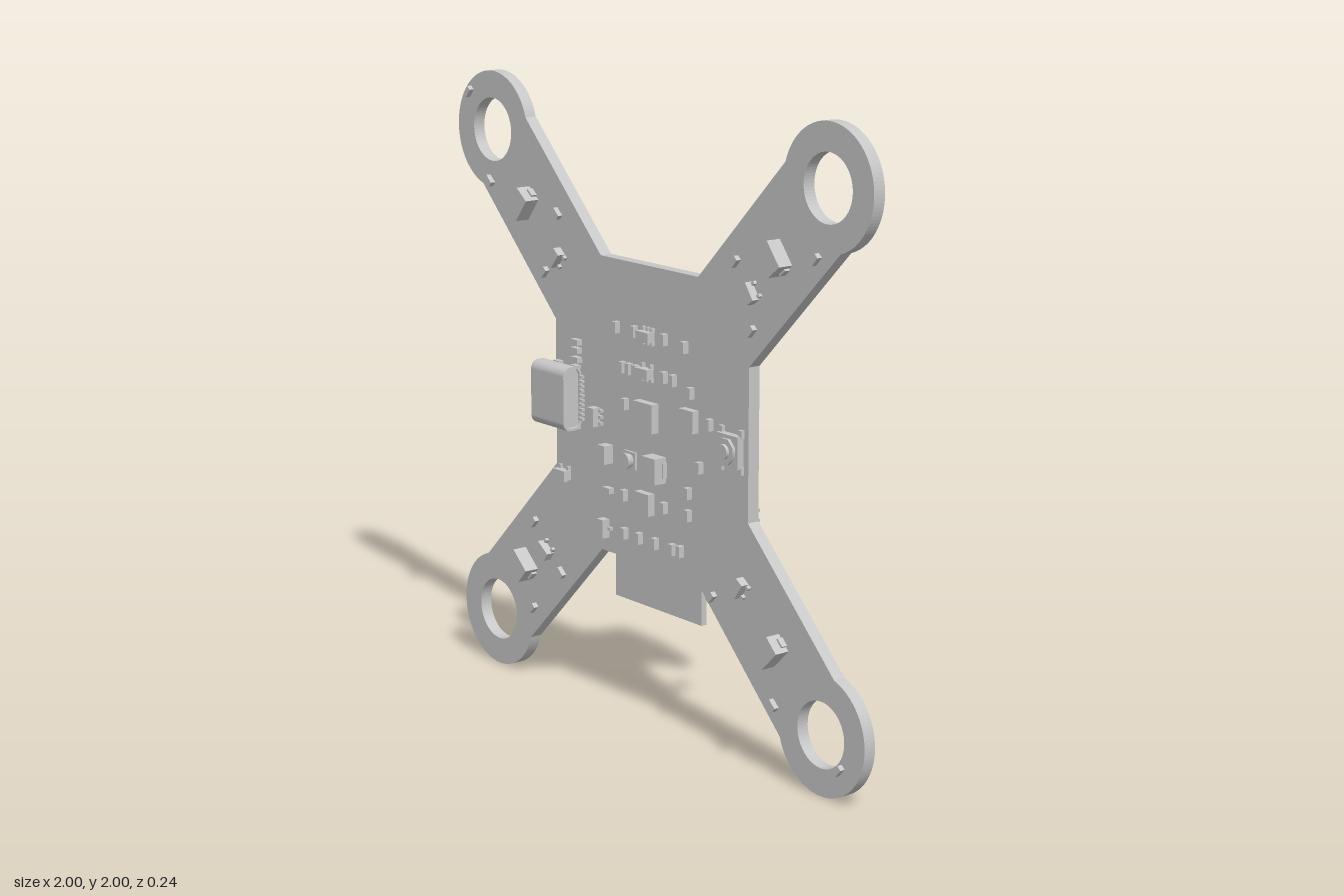
import * as THREE from 'three';

const grey = new THREE.MeshStandardMaterial({ color: 0xc6c6c6 });
grey.name = 'plain light grey';
const BACK = 0.003, FRONT = 0.044; // board faces in z
const rad = THREE.MathUtils.degToRad;

export function createModel() {
  const root = new THREE.Group();
  root.name = 'quadFrameBoard';

  const add = (name, geo, x = 0, y = 0, z = 0, parent = root) => {
    const m = new THREE.Mesh(geo, grey);
    m.name = name;
    m.position.set(x, y, z);
    parent.add(m);
    return m;
  };
  // box given by its ranges
  const span = (name, x0, x1, y0, y1, z0, z1, parent) =>
    add(name, new THREE.BoxGeometry(x1 - x0, y1 - y0, z1 - z0), (x0 + x1) / 2, (y0 + y1) / 2, (z0 + z1) / 2, parent);
  // box standing on the front of the board
  const chip = (name, x, y, w, h, d, deg = 0) => {
    const m = add(name, new THREE.BoxGeometry(w, h, d), x, y, FRONT + d / 2);
    m.rotation.z = rad(deg);
    return m;
  };

  // board: square body, four arms with ring ends
  const C = 0.81, R = 0.19, A = Math.asin(0.168 / R);
  const shape = new THREE.Shape();
  shape.moveTo(0.475, 0.762);
  for (let k = 0; k < 4; k++) {
    const q = k * Math.PI / 2, c = Math.cos(q), s = Math.sin(q);
    const corner = (x, y) => [x * c - y * s, 1 + x * s + y * c];
    const mid = corner(C, C), out = q + Math.PI / 4;
    shape.lineTo(...corner(0.475, 0.238));
    shape.absarc(mid[0], mid[1], R, out - Math.PI + A, out + Math.PI - A, false);
    shape.lineTo(...corner(0.238, 0.475));
    const hole = new THREE.Path();
    hole.absarc(mid[0], mid[1], 0.103, 0, Math.PI * 2, true);
    shape.holes.push(hole);
  }
  add('board', new THREE.ExtrudeGeometry(shape, { depth: FRONT - BACK, bevelEnabled: false, curveSegments: 32 }), 0, 0, BACK);

  // large diodes on the arms
  [[-0.615, 1.593, 52], [0.61, 1.585, 128], [-0.64, 0.387, -42], [0.61, 0.4, 45]].forEach(([x, y, a]) => {
    chip('diodeBody', x, y, 0.09, 0.062, 0.05, a);
    chip('diodeTabs', x, y, 0.104, 0.03, 0.02, a);
  });

  // small leaded packages: body plus legs on both long sides
  const leaded = (x, y, a, top, bottom) => {
    const g = new THREE.Group();
    g.name = 'leadedChip';
    g.position.set(x, y, FRONT);
    g.rotation.z = rad(a);
    root.add(g);
    add('chipBody', new THREE.BoxGeometry(0.06, 0.032, 0.028), 0, 0, 0.018, g);
    [[top, 1], [bottom, -1]].forEach(([n, side]) => {
      for (let i = 0; i < n; i++) {
        const lx = n === 1 ? 0 : (i / (n - 1) - 0.5) * 0.042;
        add('chipLeg', new THREE.BoxGeometry(0.01, 0.014, 0.012), lx, side * 0.021, 0.006, g);
      }
    });
  };
  [[-0.45, 1.44, 50, 1, 2], [0.495, 1.465, 125, 1, 2], [-0.525, 0.46, 145, 1, 2], [0.455, 0.56, 55, 1, 2],
    [0.005, 1.258, 0, 3, 3], [0, 1.142, 0, 2, 3], [-0.257, 0.958, 90, 3, 3], [-0.21, 0.604, 90, 2, 1],
    [-0.426, 0.737, 0, 2, 1]].forEach(p => leaded(...p));

  // tiny passives on the arms (x, y, angle)
  [[-0.93, 1.922, 50], [-0.818, 1.643, -42], [-0.455, 1.58, -42], [-0.524, 1.382, 48], [0.417, 1.547, 48],
    [0.77, 1.602, 48], [0.492, 1.35, 48], [-0.594, 0.54, 48], [-0.449, 0.4, -42], [-0.604, 0.243, 45],
    [0.604, 0.228, -42], [0.316, 0.497, 45], [0.898, 0.105, 48]]
    .forEach(([x, y, a]) => chip('passive', x, y, 0.035, 0.018, 0.017, a));

  // tiny passives on the body
  [[-0.15, 1.262], [-0.06, 1.262], [0.086, 1.26], [0.184, 1.252], [-0.118, 1.14], [-0.086, 1.14], [-0.052, 1.14],
    [0.086, 1.142], [0.13, 1.14], [0.214, 1.115], [-0.107, 1.025], [0.305, 1.034], [0.257, 0.891], [0.203, 0.8],
    [0.203, 0.73], [-0.112, 0.73], [0.086, 0.73], [-0.112, 0.606], [-0.037, 0.606], [0.043, 0.606],
    [0.128, 0.606], [0.166, 0.608]].forEach(([x, y]) => chip('passive', x, y, 0.018, 0.036, 0.02));
  [[-0.193, 0.73], [-0.355, 1.182], [-0.355, 1.155], [-0.355, 1.125]]
    .forEach(([x, y]) => chip('passive', x, y, 0.036, 0.018, 0.02));

  // flat square chips and taller blocks
  chip('mainChip', 0.003, 1.005, 0.092, 0.092, 0.028);
  chip('sensorChip', 0.21, 1.03, 0.066, 0.07, 0.025);
  chip('powerChip', -0.007, 0.726, 0.07, 0.07, 0.025);
  chip('inductor', 0.053, 0.848, 0.066, 0.082, 0.045);
  chip('inductorFoot', 0.053, 0.848, 0.074, 0.05, 0.015);
  chip('capacitor', -0.198, 0.848, 0.036, 0.06, 0.035);
  chip('coilBase', -0.086, 0.848, 0.056, 0.056, 0.008);
  add('coil', new THREE.CylinderGeometry(0.03, 0.02, 0.03, 20).rotateX(Math.PI / 2), -0.086, 0.848, FRONT + 0.02);

  // push button
  chip('buttonBase', 0.403, 0.975, 0.1, 0.1, 0.024);
  for (const sx of [-1, 1]) for (const sy of [-1, 1])
    chip('buttonLeg', 0.403 + sx * 0.045, 0.975 + sy * 0.056, 0.016, 0.025, 0.012);
  const collar = add('buttonCollar', new THREE.CylinderGeometry(0.042, 0.042, 0.01, 8).rotateX(Math.PI / 2), 0.403, 0.975, FRONT + 0.029);
  collar.rotation.z = Math.PI / 8;
  add('buttonCap', new THREE.CylinderGeometry(0.023, 0.023, 0.012, 24).rotateX(Math.PI / 2), 0.403, 0.975, FRONT + 0.038);

  // charging socket: hollow rounded shell opening to the side
  const rounded = (P, w, h, r) => {
    const p = new P(), a = w / 2 - r, b = h / 2 - r;
    p.absarc(a, b, r, 0, Math.PI / 2, false);
    p.absarc(-a, b, r, Math.PI / 2, Math.PI, false);
    p.absarc(-a, -b, r, Math.PI, Math.PI * 1.5, false);
    p.absarc(a, -b, r, Math.PI * 1.5, Math.PI * 2, false);
    p.closePath();
    return p;
  };
  const shell = rounded(THREE.Shape, 0.072, 0.207, 0.028);
  shell.holes.push(rounded(THREE.Path, 0.056, 0.191, 0.02));
  const shellGeo = new THREE.ExtrudeGeometry(shell, { depth: 0.172, bevelEnabled: false, curveSegments: 8 }).rotateY(Math.PI / 2);
  add('socketShell', shellGeo, -0.51, 1.003, 0.083);
  span('socketRearWall', -0.38, -0.345, 0.91, 1.096, 0.052, 0.113);
  span('socketTongue', -0.49, -0.37, 0.94, 1.066, 0.077, 0.089);
  for (let i = 0; i < 10; i++) chip('socketPin', -0.335, 0.934 + i * 0.0153, 0.02, 0.008, 0.012);
  for (const x of [-0.45, -0.36]) for (const y of [0.905, 1.101]) chip('socketLeg', x, y, 0.03, 0.012, 0.02);

  // radio module on the back, overhanging the lower edge
  span('moduleBoard', -0.22, 0.21, 0.37, 0.965, -0.017, BACK);
  span('moduleCan', -0.195, 0.182, 0.536, 0.94, -0.066, -0.017);
  const pad = (x, y, w, h) => span('modulePad', x - w / 2, x + w / 2, y - h / 2, y + h / 2, -0.021, BACK);
  for (let i = 0; i < 14; i++) for (const x of [-0.217, 0.207]) pad(x, 0.56 + i * 0.028, 0.018, 0.014);
  for (let i = 0; i < 12; i++) pad(-0.165 + i * 0.029, 0.962, 0.014, 0.018);

  // flat cable connector on the back
  span('connectorTopBar', -0.185, 0.175, 1.155, 1.19, -0.028, BACK);
  span('connectorFloor', -0.165, 0.155, 1.1, 1.16, -0.008, BACK);
  span('connectorLatch', -0.165, 0.155, 1.1, 1.122, -0.024, BACK);
  for (const x of [-0.18, 0.17]) span('connectorEnd', x - 0.015, x + 0.015, 1.105, 1.17, -0.028, BACK);
  for (let i = 0; i < 20; i++) {
    const x = -0.147 + i * 0.015;
    span('connectorPin', x - 0.003, x + 0.003, 1.088, 1.16, -0.013, BACK);
  }

  // three-pin headers: upright on the left, level on the right
  const header = (x, y, upright) => {
    const g = new THREE.Group();
    g.name = 'pinHeader';
    g.position.set(x, y, 0);
    if (upright) g.rotation.z = Math.PI / 2;
    root.add(g);
    span('headerBase', -0.048, 0.048, -0.015, 0.015, -0.027, -0.01, g);
    for (let i = -1; i <= 1; i++) {
      const px = i * 0.032;
      span('headerPin', px - 0.005, px + 0.005, -0.005, 0.005, -0.12, BACK, g);
      span('headerFoot', px - 0.005, px + 0.005, i ? -0.035 : 0, i ? 0 : 0.035, -0.006, BACK, g);
    }
  };
  for (const y of [1.335, 0.715]) header(0.335, y, true);
  header(-0.345, 1.285, false);
  header(-0.345, 0.7, false);

  // tiny passives on the back (x, y, half width, half height, depth)
  const upright = [0.009, 0.018, -0.015], level = [0.016, 0.009, -0.015], low = [0.014, 0.008, -0.006];
  [[0.153, 1.255, upright], [-0.107, 1.255, upright], [-0.19, 1.255, upright], [0.28, 1.06, level], [0.28, 0.99, level],
    [-0.34, 1.08, low], [-0.43, 1.06, level], [-0.34, 0.97, low], [-0.34, 0.9, low], [-0.43, 0.88, low],
    [0.3, 0.62, level], [0.3, 0.575, level], [-0.26, 0.62, level], [-0.3, 0.575, level]]
    .forEach(([x, y, [w, h, d]]) => span('backPassive', x - w, x + w, y - h, y + h, d, BACK));

  return root;
}
